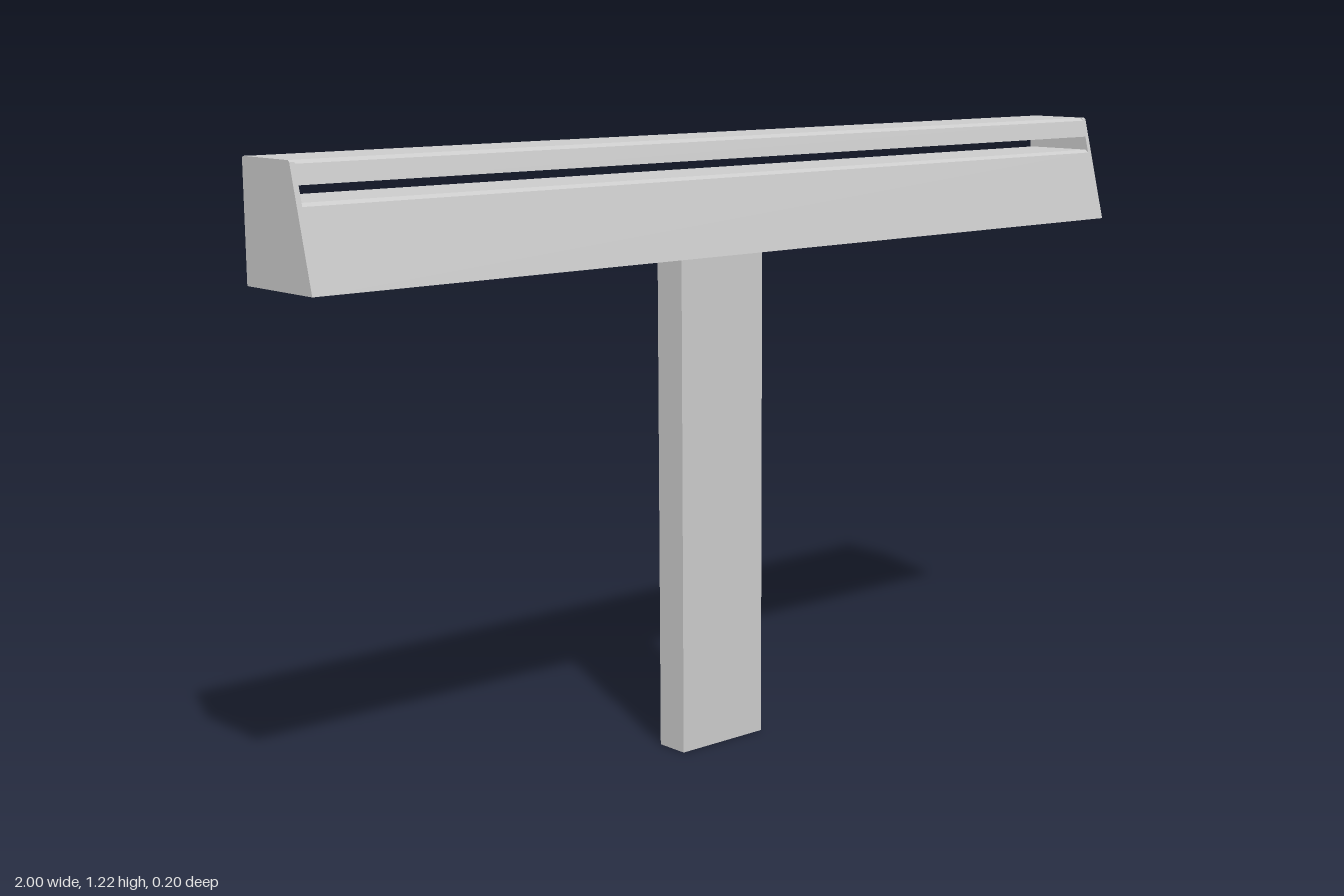
import * as THREE from 'three';

const grey = new THREE.MeshStandardMaterial({ color: 0xcccccc, flatShading: true, side: THREE.DoubleSide });

const BACK = -0.1, BASE = 1.0, TOP = 1.215, HALF = 1.0, CAP = 0.01;
// depth of the sloping front at height y
const front = (y) => 0.1 - ((y - BASE) / (TOP - BASE)) * 0.055;

// extrude a [z, y] cross-section along x, between x0 and x1
function alongX(name, profile, x0, x1) {
  const shape = new THREE.Shape(profile.map(([z, y]) => new THREE.Vector2(-z, y)));
  const geo = new THREE.ExtrudeGeometry(shape, { depth: x1 - x0, bevelEnabled: false });
  geo.rotateY(Math.PI / 2).translate(x0, 0, 0);
  const mesh = new THREE.Mesh(geo, grey);
  mesh.name = name;
  return mesh;
}

export function createModel() {
  const model = new THREE.Group();
  model.name = 'wallMountedBar';
  const inner = HALF - CAP;
  const c = 0.006; // small softened edges
  const wall = 0.006;

  // lower rail: sloping front, upright back, recessed underside
  const railTop = 1.147, recess = 1.075;
  model.add(alongX('lowerRail', [
    [BACK, BASE], [BACK, railTop - c], [BACK + c, railTop],
    [front(railTop) - c, railTop], [front(railTop - c), railTop - c], [front(BASE), BASE],
    [front(BASE) - wall, BASE], [front(recess) - wall, recess],
    [BACK + wall, recess], [BACK + wall, BASE],
  ], -inner, inner));

  // upper rail, above the through slot
  const slotTop = 1.175;
  model.add(alongX('upperRail', [
    [BACK, slotTop], [BACK, TOP - c], [BACK + c, TOP],
    [front(TOP) - c, TOP], [front(TOP - c), TOP - c], [front(slotTop), slotTop],
  ], -inner, inner));

  // end caps joining the two rails
  for (const side of [-1, 1]) {
    const x = side < 0 ? -HALF : inner;
    model.add(alongX(side < 0 ? 'rightEndCap' : 'leftEndCap', [
      [BACK, BASE], [BACK, TOP - 0.003], [BACK + 0.003, TOP],
      [front(TOP) - 0.003, TOP], [front(TOP - 0.003), TOP - 0.003], [front(BASE), BASE],
    ], x, x + CAP));
  }

  // hollow post, open at its ends
  const walls = new THREE.BoxGeometry(0.21, BASE, 0.07);
  const index = Array.from(walls.index.array);
  walls.setIndex([...index.slice(0, 12), ...index.slice(24)]);
  const post = new THREE.Mesh(walls, grey);
  post.name = 'post';
  post.position.set(0, BASE / 2, BACK + 0.035);
  model.add(post);

  return model;
}
